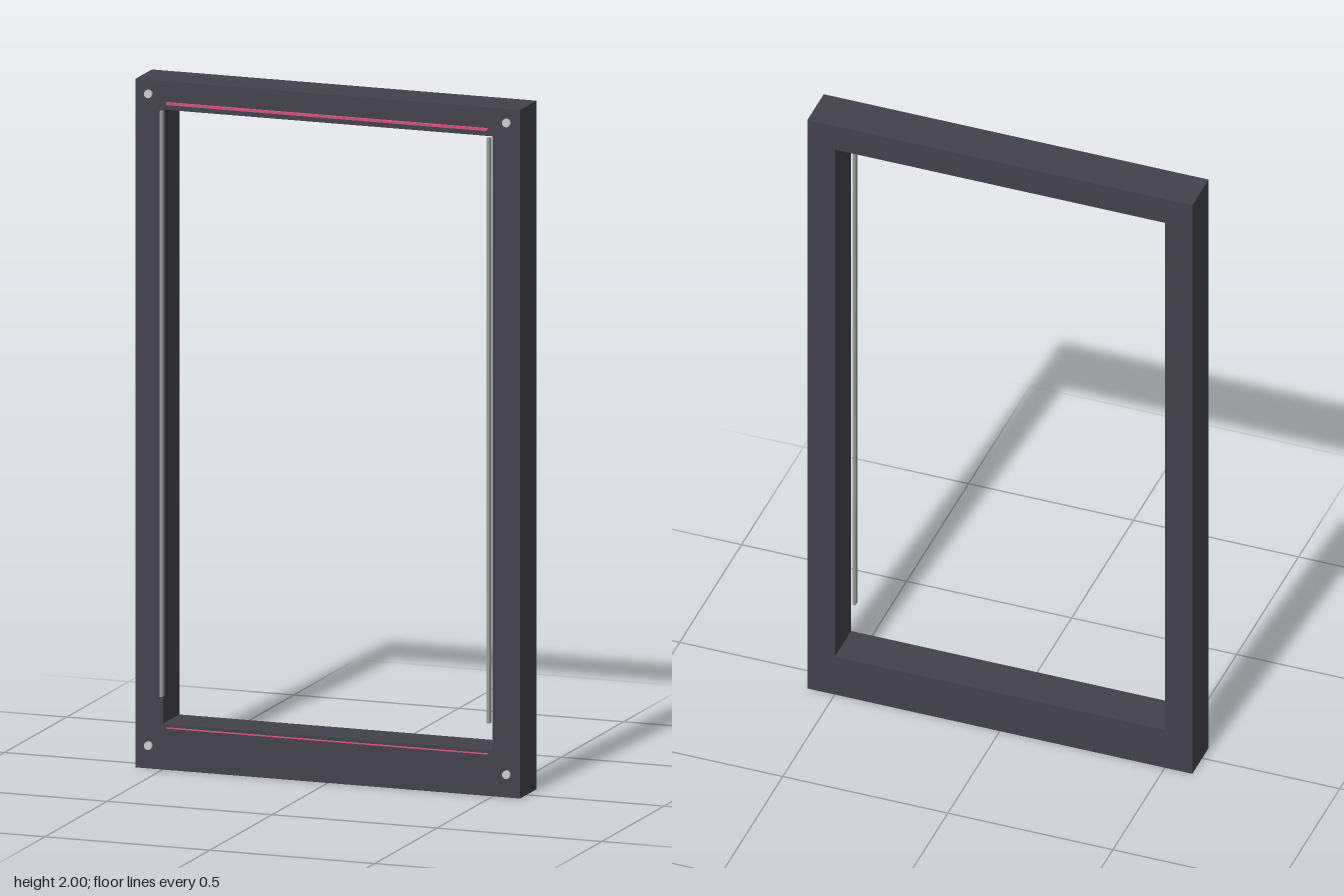
import * as THREE from 'three';

const W = 0.583, IN = 0.5, RAIL = 0.133, TOP = 1.917;
const BACK = -0.08, FRONT = 0.052;

export function createModel() {
  const model = new THREE.Group();
  model.name = 'doorFrame';
  const mat = (color) => new THREE.MeshStandardMaterial({ color });
  const dark = mat(0x42404c), grey = mat(0x999999), light = mat(0xcccccc), pink = mat(0xd0507a);

  const add = (name, geometry, material, x = 0, y = 0, z = 0) => {
    const mesh = new THREE.Mesh(geometry, material);
    mesh.name = name;
    mesh.position.set(x, y, z);
    model.add(mesh);
    return mesh;
  };
  const box = (name, material, x0, x1, y0, y1, z0, z1) =>
    add(name, new THREE.BoxGeometry(x1 - x0, y1 - y0, z1 - z0), material,
      (x0 + x1) / 2, (y0 + y1) / 2, (z0 + z1) / 2);

  // Uprights and header as one upside-down U
  const outline = new THREE.Shape([
    [-W, RAIL], [-IN, RAIL], [-IN, TOP], [IN, TOP],
    [IN, RAIL], [W, RAIL], [W, 2], [-W, 2],
  ].map(([x, y]) => new THREE.Vector2(x, y)));
  add('uprightsAndHeader', new THREE.ExtrudeGeometry(outline, { depth: FRONT - BACK, bevelEnabled: false }),
    dark, 0, 0, BACK);

  // Bottom rail
  box('bottomRail', dark, -W, W, 0, RAIL, BACK, FRONT);

  // Thin accent strips along the header and the bottom rail
  box('topAccentStrip', pink, -0.487, 0.487, 1.933, 1.94, FRONT, 0.062);
  box('bottomAccentStrip', pink, -0.487, 0.487, 0.122, 0.124, FRONT, 0.062);

  for (const side of [-1, 1]) {
    const name = side > 0 ? 'left' : 'right';
    // Slim vertical strip standing just in front of the opening edge
    const strip = box(name + 'SideStrip', grey, -0.0045, 0.0045, 0.217, TOP, 0.063, 0.079);
    strip.position.x = side * 0.496;
    // Corner screw heads
    for (const [end, y] of [['Bottom', 0.067], ['Top', 1.96]]) {
      const screw = new THREE.CylinderGeometry(0.012, 0.012, 0.008, 16).rotateX(Math.PI / 2);
      add(name + end + 'Screw', screw, light, side * 0.543, y, FRONT + 0.004);
    }
  }
  return model;
}
